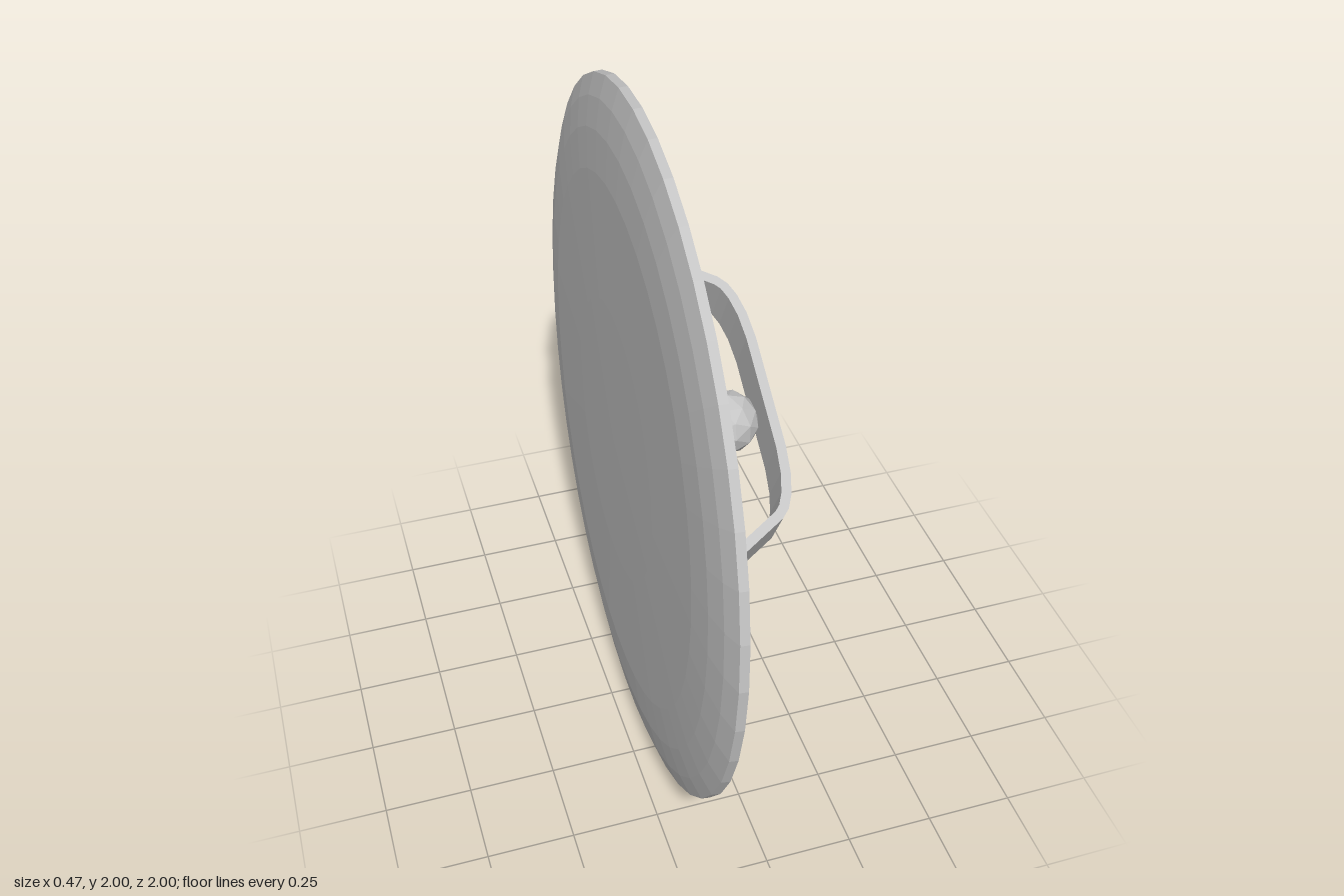
import * as THREE from 'three';

export function createModel() {
  const steel = new THREE.MeshStandardMaterial({ color: 0xc4c4c4, flatShading: true });
  steel.name = 'light grey';

  const group = new THREE.Group();
  group.name = 'shield';
  const add = (name, geometry) => {
    const mesh = new THREE.Mesh(geometry, steel);
    mesh.name = name;
    group.add(mesh);
    return mesh;
  };

  // Shallow dished disc: domed back, narrow rim, hollow inside facing +x
  const profile = [
    [0, -0.06], [0.4, -0.058], [0.75, -0.052], [0.86, -0.043], [0.94, -0.028], [0.998, -0.008],
    [1.0, 0.016], [0.985, 0.018], [0.93, 0.002], [0.84, -0.014], [0.72, -0.022], [0.4, -0.027], [0, -0.03],
  ].map(([r, a]) => new THREE.Vector2(r, a));
  add('disc', new THREE.LatheGeometry(profile, 44).rotateZ(-Math.PI / 2));

  // Strap handle: half of the outer outline, mirrored, then thickened inward
  const half = [
    [0.573, -0.04], [0.537, 0.13], [0.515, 0.143], [0.465, 0.18], [0.375, 0.325],
    [0.35, 0.348], [0.31, 0.366], [0.25, 0.38], [0.17, 0.387],
  ];
  const outer = [...half, ...half.map(([s, a]) => [-s, a]).reverse()]
    .map(([s, a]) => new THREE.Vector2(s, a));
  const thickness = 0.028;
  const inner = outer.map((p, i) => {
    const before = outer[Math.max(i - 1, 0)];
    const after = outer[Math.min(i + 1, outer.length - 1)];
    const t = after.clone().sub(before).normalize();
    return new THREE.Vector2(p.x - t.y * thickness, p.y + t.x * thickness);
  });
  const width = 0.155;
  const strap = new THREE.ExtrudeGeometry(
    new THREE.Shape([...outer, ...inner.reverse()]),
    { depth: width, bevelEnabled: false },
  ).translate(0, 0, -width / 2);
  const along = new THREE.Vector3(0, 0.489, -0.872).normalize();
  const out = new THREE.Vector3(1, 0, 0);
  const across = along.clone().cross(out);
  strap.applyMatrix4(new THREE.Matrix4().makeBasis(along, out, across));
  add('handle', strap).position.set(0, 0.035, -0.02);

  // Three faceted round studs
  const studs = [[0.058, 0.5, 0.622], [0.052, -0.514, 0.16], [0.04, -0.574, -0.34]];
  studs.forEach(([x, y, z], i) => {
    add('stud' + (i + 1), new THREE.IcosahedronGeometry(0.075, 1)).position.set(x, y, z);
  });

  // Slight lean of the whole shield
  group.quaternion.setFromUnitVectors(out, new THREE.Vector3(1, -0.025, 0.025).normalize());
  group.position.set(-0.155, 1, 0);

  const model = new THREE.Group();
  model.name = 'model';
  model.add(group);
  return model;
}
